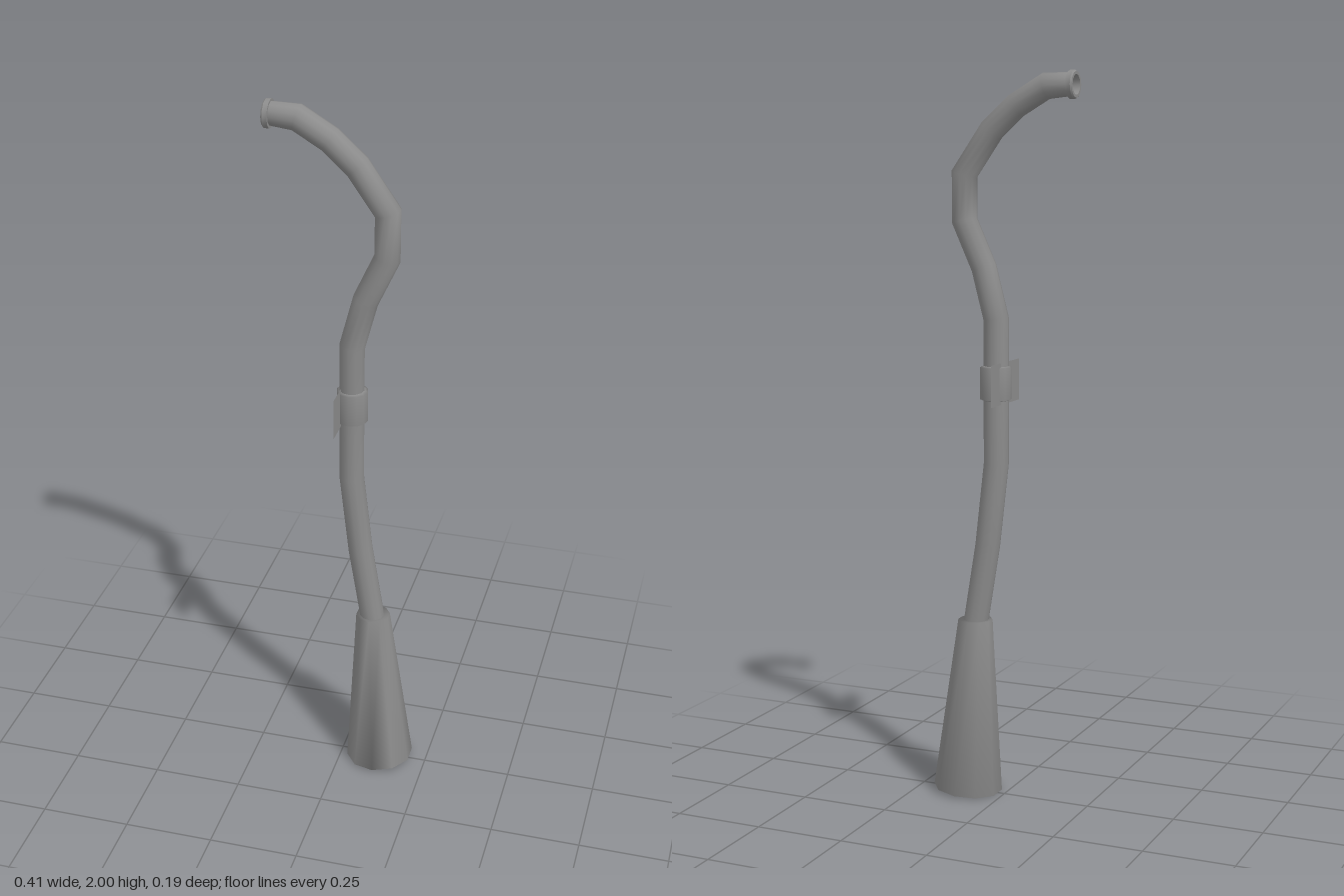
import * as THREE from 'three';
import { toCreasedNormals } from 'three/addons/utils/BufferGeometryUtils.js';

const material = new THREE.MeshStandardMaterial({ color: 0x8c8c8c });
const thinMaterial = new THREE.MeshStandardMaterial({ color: 0x8c8c8c, side: THREE.DoubleSide });

// Skin a row of rings; each ring is { x, y, r, tilt, stretch } with its axis in the xy plane.
// tilt is the angle of the ring's axis from +y towards -x.
function loft(rings, sides, capped) {
  const pos = [], index = [];
  for (const { x, y, r, tilt = 0, stretch = 1 } of rings) {
    for (let i = 0; i < sides; i++) {
      const a = Math.PI / 2 + (i / sides) * Math.PI * 2;
      const n = r * stretch * Math.cos(a);
      pos.push(x + n * Math.cos(tilt), y + n * Math.sin(tilt), r * Math.sin(a));
    }
  }
  for (let j = 0; j < rings.length - 1; j++) {
    for (let i = 0; i < sides; i++) {
      const k = (i + 1) % sides;
      const a = j * sides + i, b = j * sides + k, c = a + sides, d = b + sides;
      index.push(a, c, b, b, c, d);
    }
  }
  if (capped) {
    const last = (rings.length - 1) * sides;
    for (let i = 1; i < sides - 1; i++) {
      index.push(0, i, i + 1);
      index.push(last, last + i + 1, last + i);
    }
  }
  const geometry = new THREE.BufferGeometry();
  geometry.setAttribute('position', new THREE.Float32BufferAttribute(pos, 3));
  geometry.setIndex(index);
  geometry.computeVertexNormals();
  return geometry;
}

// Mitred rings along a bent centre line
function ringsAlong(path, radius) {
  return path.map(([x, y], i) => {
    const p = path[Math.max(i - 1, 0)], q = path[Math.min(i + 1, path.length - 1)];
    const before = i > 0 ? Math.atan2(-(x - p[0]), y - p[1]) : null;
    const after = i < path.length - 1 ? Math.atan2(-(q[0] - x), q[1] - y) : before;
    const first = before ?? after;
    return {
      x, y, r: radius,
      tilt: (first + after) / 2,
      stretch: 1 / Math.cos((after - first) / 2),
    };
  });
}

// Turned part from [radius, height] points
function turned(points, sides) {
  return new THREE.LatheGeometry(points.map(([r, h]) => new THREE.Vector2(r, h)), sides);
}

export function createModel() {
  const group = new THREE.Group();
  const add = (name, geometry, mat = material) => {
    const mesh = new THREE.Mesh(geometry, mat);
    mesh.name = name;
    group.add(mesh);
    return mesh;
  };

  // Curved pipe, from inside the handle up to the hooked tip
  const path = [
    [0.089, 0.47], [0.085, 0.5], [0.05, 0.715], [0.024, 0.945], [0.024, 1.342],
    [0.06, 1.48], [0.117, 1.605], [0.117, 1.73], [0.037, 1.845],
    [-0.035, 1.91], [-0.12, 1.96], [-0.19, 1.964],
  ];
  const rings = ringsAlong(path, 0.0345);
  rings[rings.length - 1].r = 0.031;
  add('pipe', loft(rings, 12, false), thinMaterial);

  // Tapered handle with a slightly slanted foot, softly shaded over its ends
  add('handle', loft([
    { x: 0.112, y: 0.01, r: 0.094, tilt: 0.075, stretch: 1.03 },
    { x: 0.088, y: 0.5, r: 0.048 },
  ], 10, true));

  // Hollow lip around the tip
  const lip = turned([
    [0.028, 0], [0.038, 0], [0.038, 0.013], [0.035, 0.017],
    [0.027, 0.017], [0.025, -0.03], [0, -0.03],
  ], 12);
  const lipMesh = add('tipLip', toCreasedNormals(lip, 0.6));
  lipMesh.rotation.z = Math.PI / 2;
  lipMesh.position.set(-0.188, 1.963, 0);

  // Collar clamped round the pipe, with softened ends
  const collar = turned([[0.033, -0.048], [0.043, -0.044], [0.043, 0.044], [0.033, 0.048]], 12);
  add('collar', collar).position.set(0.025, 1.167, 0);

  // Thin plate set into the side of the collar
  const plate = new THREE.PlaneGeometry(0.19, 0.114);
  plate.rotateY(-Math.PI / 2);
  add('sidePlate', plate, thinMaterial).position.set(0, 1.168, 0.005);

  return group;
}
